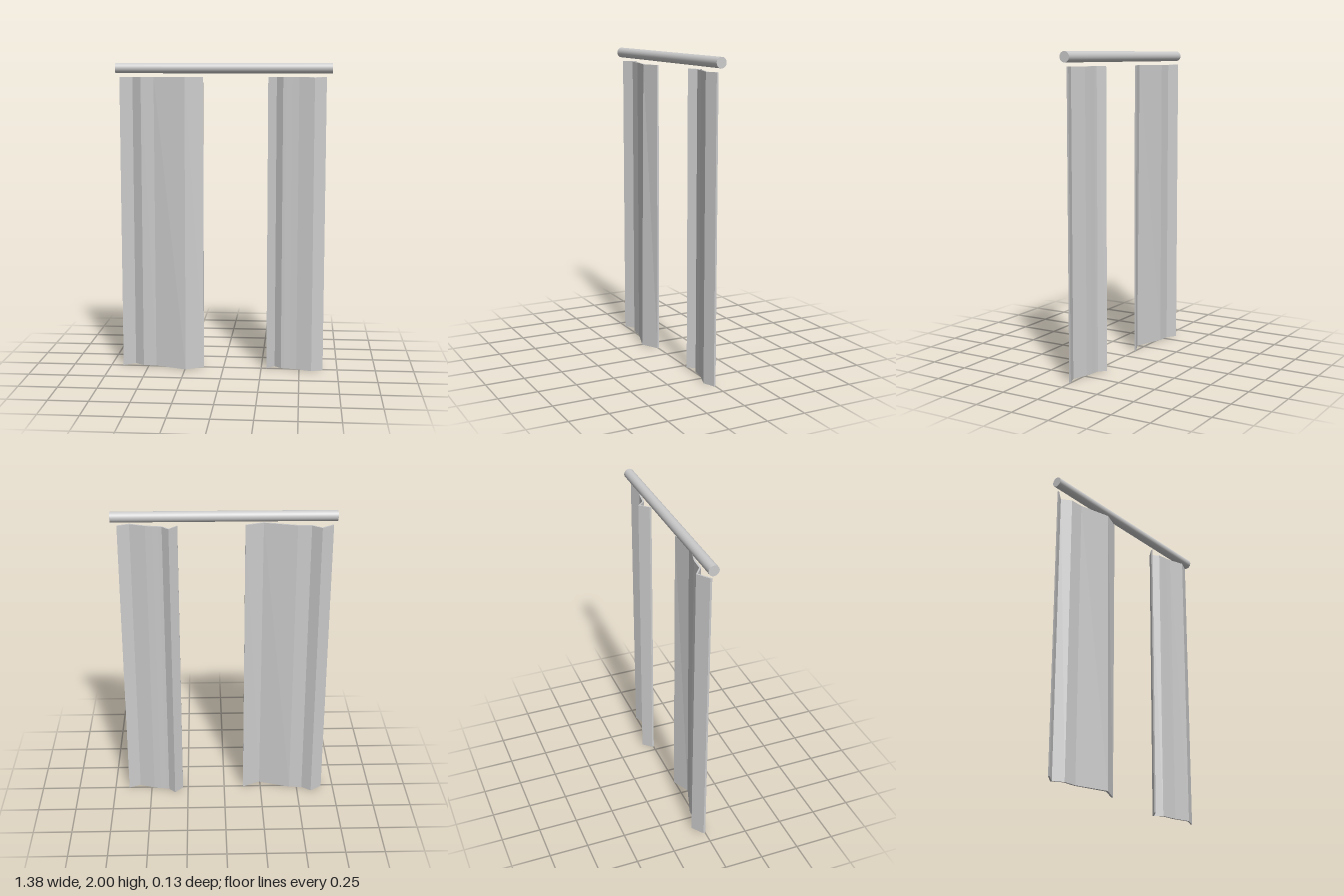
import * as THREE from 'three';

const HEIGHT = 1.91;
const THICKNESS = 0.012;

// Pleated sheet: a folded [x, z] line given a thickness and extruded upwards.
function curtainPanel(name, folds, material, flare = 1) {
  const half = THICKNESS / 2;
  const front = folds.map(([x, z]) => new THREE.Vector2(x, -(z + half)));
  const back = folds.map(([x, z]) => new THREE.Vector2(x, -(z - half))).reverse();
  const shape = new THREE.Shape([...front, ...back]);
  const geometry = new THREE.ExtrudeGeometry(shape, { depth: HEIGHT, bevelEnabled: false });
  geometry.rotateX(-Math.PI / 2);

  // The foremost pleat swings out a little towards the hem.
  const p = geometry.attributes.position;
  for (let i = 0; i < p.count; i++) {
    if (p.getZ(i) > 0.03 && p.getY(i) < HEIGHT / 2) p.setZ(i, p.getZ(i) * flare);
  }
  geometry.computeVertexNormals();
  const mesh = new THREE.Mesh(geometry, material);
  mesh.name = name;
  return mesh;
}

export function createModel() {
  const group = new THREE.Group();
  group.name = 'curtains';
  const metal = new THREE.MeshStandardMaterial({ color: 0xcccccc });
  const cloth = new THREE.MeshStandardMaterial({
    color: 0xcccccc, flatShading: true, side: THREE.DoubleSide,
  });

  // Rod
  const rod = new THREE.Mesh(new THREE.CylinderGeometry(0.033, 0.033, 1.385, 32), metal);
  rod.name = 'curtainRod';
  rod.rotation.z = Math.PI / 2;
  rod.position.y = 1.967;
  group.add(rod);

  // Wide panel on the model's right
  group.add(curtainPanel('rightCurtain', [
    [-0.67, -0.006], [-0.595, -0.06], [-0.535, -0.016],
    [-0.45, -0.012], [-0.245, 0.042], [-0.13, 0],
  ], cloth, 1.38));

  // Narrow, more gathered panel on the model's left
  group.add(curtainPanel('leftCurtain', [
    [0.285, -0.004], [0.338, -0.06], [0.38, -0.018], [0.4, -0.014],
    [0.44, -0.008], [0.482, 0], [0.58, 0.035], [0.655, 0.004],
  ], cloth));

  return group;
}
